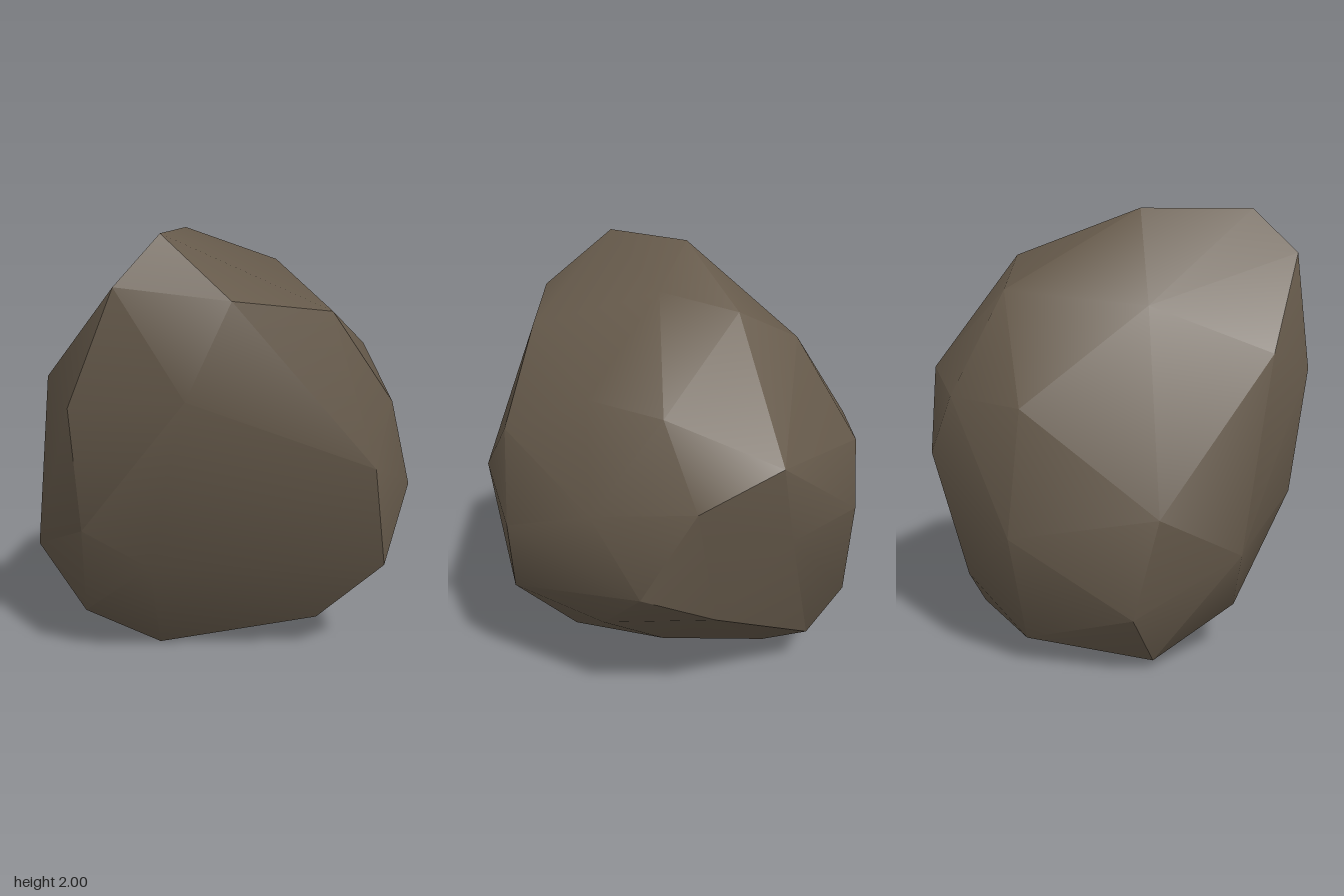
import * as THREE from 'three';
import { ConvexGeometry } from 'three/addons/geometries/ConvexGeometry.js';
import { toCreasedNormals } from 'three/addons/utils/BufferGeometryUtils.js';

// Corners of the boulder, grouped by region, as [x, y, z]
const crown = [
  [0.31, 2.0, 0.545], [-0.05, 2.0, 0.155], [0.31, 1.8, 0.775], [0.635, 1.75, 0.433],
  [0.09, 1.845, -0.27], [-0.24, 1.785, -0.415], [-0.515, 1.64, -0.27],
  [0.655, 1.67, -0.1], [-0.37, 1.59, 0.4],
];
const frontSide = [
  [0.15, 1.3, 0.91], [-0.1, 1.39, 0.86], [0.57, 1.36, 0.617], [0.12, 0.74, 0.85],
  [0.3, 0.57, 0.62], [-0.31, 0.55, 0.835], [-0.63, 0.75, 0.62], [-0.655, 0.3, 0.51],
  [-0.12, 0.24, 0.706],
];
const leftSide = [
  [0.895, 1.02, -0.148], [0.777, 1.265, -0.36], [0.777, 0.86, -0.495], [0.775, 0.49, -0.36],
];
const backSide = [
  [0.4, 1.455, -0.56], [0.09, 1.43, -0.757], [0.4, 1.01, -0.75], [-0.04, 1.08, -0.912],
  [-0.395, 1.235, -0.825], [0.195, 0.66, -0.84], [-0.13, 0.52, -0.77], [0.36, 0.4, -0.565],
  [-0.455, 0.875, -0.745],
];
const rightSide = [
  [-0.815, 1.18, 0.05], [-0.785, 1.19, -0.36], [-0.77, 0.915, -0.5], [-0.9, 0.64, 0.045],
  [-0.79, 0.39, -0.277],
];
const underside = [
  [-0.73, 0.13, 0], [-0.61, 0.19, -0.345], [-0.43, 0.01, -0.115], [-0.445, 0.035, 0.48],
  [-0.03, 0, 0.345], [0.08, 0.04, -0.13], [0.51, 0.18, -0.19],
];

export function createModel() {
  const stone = new THREE.MeshStandardMaterial({ color: 0x665a4b });
  stone.name = 'brown stone';

  // Chipped boulder: soft across shallow bends, sharp along the strong ridges
  const corners = [crown, frontSide, leftSide, backSide, rightSide, underside].flat();
  const hull = new ConvexGeometry(corners.map((p) => new THREE.Vector3(...p)));
  const boulder = new THREE.Mesh(toCreasedNormals(hull, THREE.MathUtils.degToRad(32)), stone);
  boulder.name = 'boulder';

  const model = new THREE.Group();
  model.name = 'rock';
  model.add(boulder);
  return model;
}
